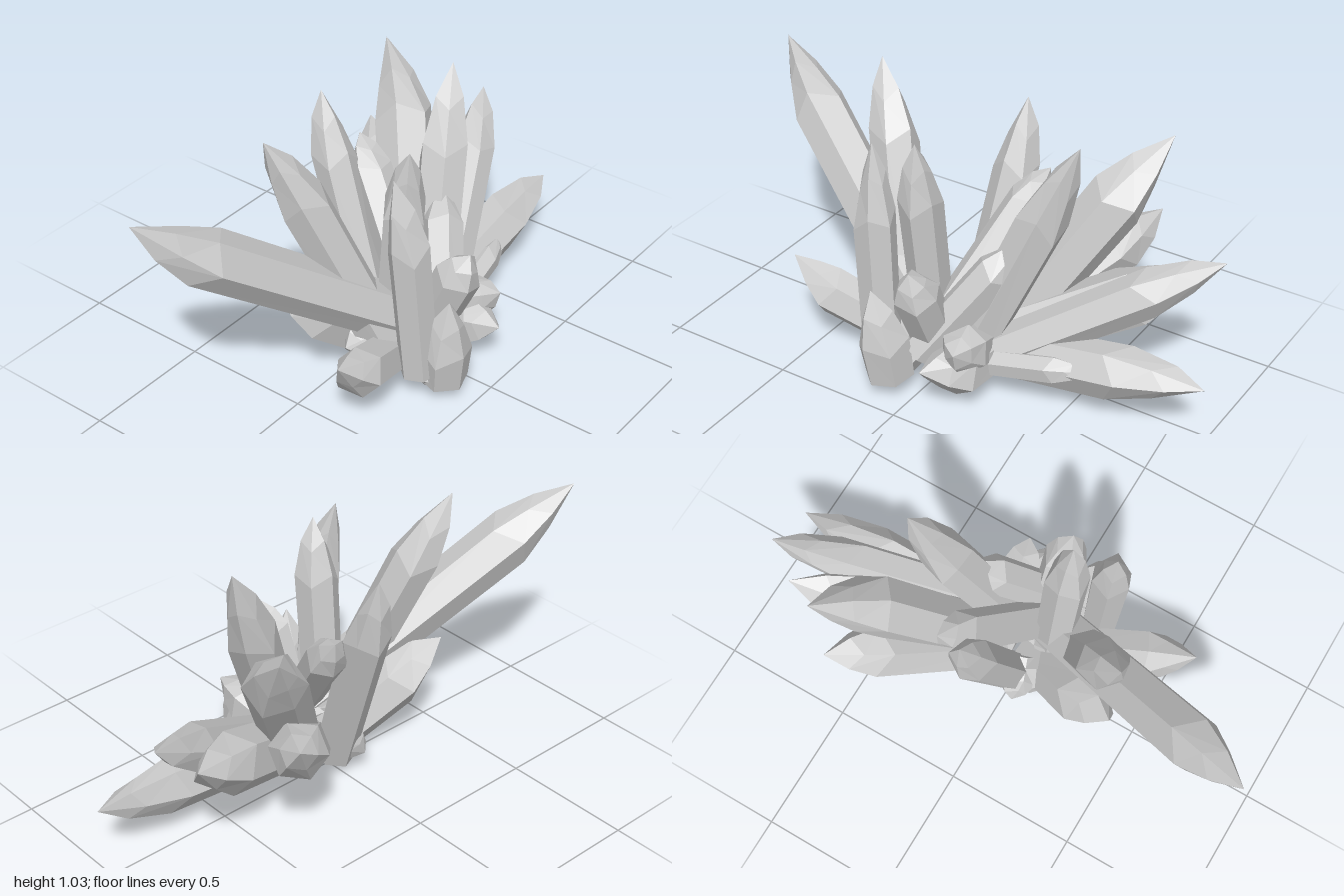
import * as THREE from 'three';

const material = new THREE.MeshStandardMaterial({ color: 0xcccccc, flatShading: true });

// six-sided crystal along base-to-aim, rounding in two staggered steps to an off-centre point at tip
function crystal(name, base, tip, radius, taper, aim, turn) {
  const a = new THREE.Vector3(...base);
  const axis = new THREE.Vector3(...aim).sub(a);
  const length = axis.length();
  const cap = Math.min(taper, length * 0.6);
  const profile = [[0, 0], [radius * 0.93, 0], [radius, length - cap], [radius * 0.62, length - cap * 0.46], [0, length]]
    .map(([x, y]) => new THREE.Vector2(x, y));
  const lathe = new THREE.LatheGeometry(profile, 6);
  lathe.rotateY(turn);
  const mesh = new THREE.Mesh(undefined, material);
  mesh.name = name;
  mesh.position.copy(a);
  mesh.quaternion.setFromUnitVectors(new THREE.Vector3(0, 1, 0), axis.normalize());
  const apex = new THREE.Vector3(...tip).sub(a).applyQuaternion(mesh.quaternion.clone().invert());
  const shift = apex.clone().sub(new THREE.Vector3(0, length, 0)).multiplyScalar(0.4);
  const p = lathe.attributes.position;
  for (let i = 0; i <= 6; i++) {
    const lift = [0.12, -0.1, 0.08, -0.12, 0.1, -0.04][i % 6] * cap;
    const low = i * 5 + 2, mid = low + 1;
    p.setY(low, p.getY(low) + lift);
    p.setXYZ(mid, p.getX(mid) + shift.x, p.getY(mid) + lift, p.getZ(mid) + shift.z);
    p.setXYZ(mid + 1, apex.x, apex.y, apex.z);
  }
  mesh.geometry = lathe.toNonIndexed();
  mesh.geometry.computeVertexNormals();
  return mesh;
}

export function createModel() {
  const model = new THREE.Group();
  model.name = 'crystalCluster';

  // base, tip, radius, length of the point, axis end where the point is off-centre
  const groups = {
    frontCrystal: [
      [[0.19, 0.16, 0.0], [-0.255, 0.935, 1.0], 0.108, 0.28, [-0.235, 0.9, 0.99]],
      [[0.165, 0.1, 0.16], [-0.14, 1.035, 0.47], 0.093, 0.28, [-0.145, 1.03, 0.445]],
      [[0.16, 0.1, 0.16], [0.27, 0.35, 0.6], 0.092, 0.15, [0.28, 0.29, 0.58]],
      [[0.04, 0.11, 0.1], [-0.13, 0.43, 0.45], 0.11, 0.2, [-0.12, 0.4, 0.45]],
      [[0.14, 0.16, 0.0], [0.08, 0.18, 0.32], 0.085, 0.08],
    ],
    uprightCrystal: [
      [[0.305, 0.1, 0.18], [0.24, 0.92, 0.25], 0.078, 0.27, [0.27, 0.91, 0.235]],
      [[0.11, 0.1, 0.08], [0.195, 0.935, 0.1], 0.082, 0.24],
      [[-0.04, 0.07, 0.0], [-0.315, 0.94, -0.05], 0.083, 0.26, [-0.335, 0.93, -0.06]],
      [[0.25, 0.1, 0.05], [-0.25, 0.72, -0.19], 0.078, 0.15],
      [[0.3, 0.15, 0.02], [0.08, 0.58, -0.26], 0.078, 0.13],
    ],
    backCrystal: [
      [[0.15, 0.12, -0.1], [-0.01, 0.985, -0.44], 0.095, 0.32, [-0.02, 0.97, -0.44]],
      [[0.02, 0.13, -0.15], [-0.43, 0.89, -0.59], 0.113, 0.26, [-0.355, 0.88, -0.58]],
      [[0.0, 0.14, -0.12], [-0.47, 0.55, -0.54], 0.107, 0.2, [-0.45, 0.54, -0.54]],
      [[0.15, 0.13, -0.18], [-0.2, 0.595, -0.93], 0.088, 0.3],
      [[0.05, 0.14, -0.16], [-0.28, 0.5, -0.82], 0.115, 0.28, [-0.26, 0.48, -0.82]],
      [[0.1, 0.11, -0.05], [0.06, 0.24, -1.0], 0.103, 0.33],
      [[0.2, 0.12, -0.15], [0.14, 0.2, -0.59], 0.053, 0.14],
    ],
    sideCrystal: [
      [[0.2, 0.12, 0.0], [0.39, 0.54, 0.0], 0.088, 0.12],
      [[0.1, 0.14, -0.12], [0.4, 0.27, -0.19], 0.092, 0.13],
      [[-0.02, 0.12, -0.16], [0.465, 0.2, -0.09], 0.105, 0.14, [0.45, 0.15, -0.13]],
      [[0.36, 0.06, 0.11], [0.41, 0.43, 0.15], 0.1, 0.26, [0.4, 0.42, 0.14]],
      [[0.16, 0.13, 0.1], [0.42, 0.08, 0.13], 0.09, 0.08],
    ],
    // small shards closing the underside
    baseShard: [
      [[0.02, 0.2, 0.05], [-0.04, 0.01, 0.1], 0.09, 0.1],
      [[0.12, 0.2, 0.08], [0.06, 0.0, 0.14], 0.09, 0.1],
      [[0.0, 0.18, 0.0], [-0.15, 0.1, 0.05], 0.08, 0.08],
    ],
  };

  let count = 0;
  for (const [name, list] of Object.entries(groups)) {
    list.forEach(([base, tip, radius, taper, aim = tip], i) => {
      model.add(crystal(name + (i + 1), base, tip, radius, taper, aim, count++ * 0.8));
    });
  }
  return model;
}
